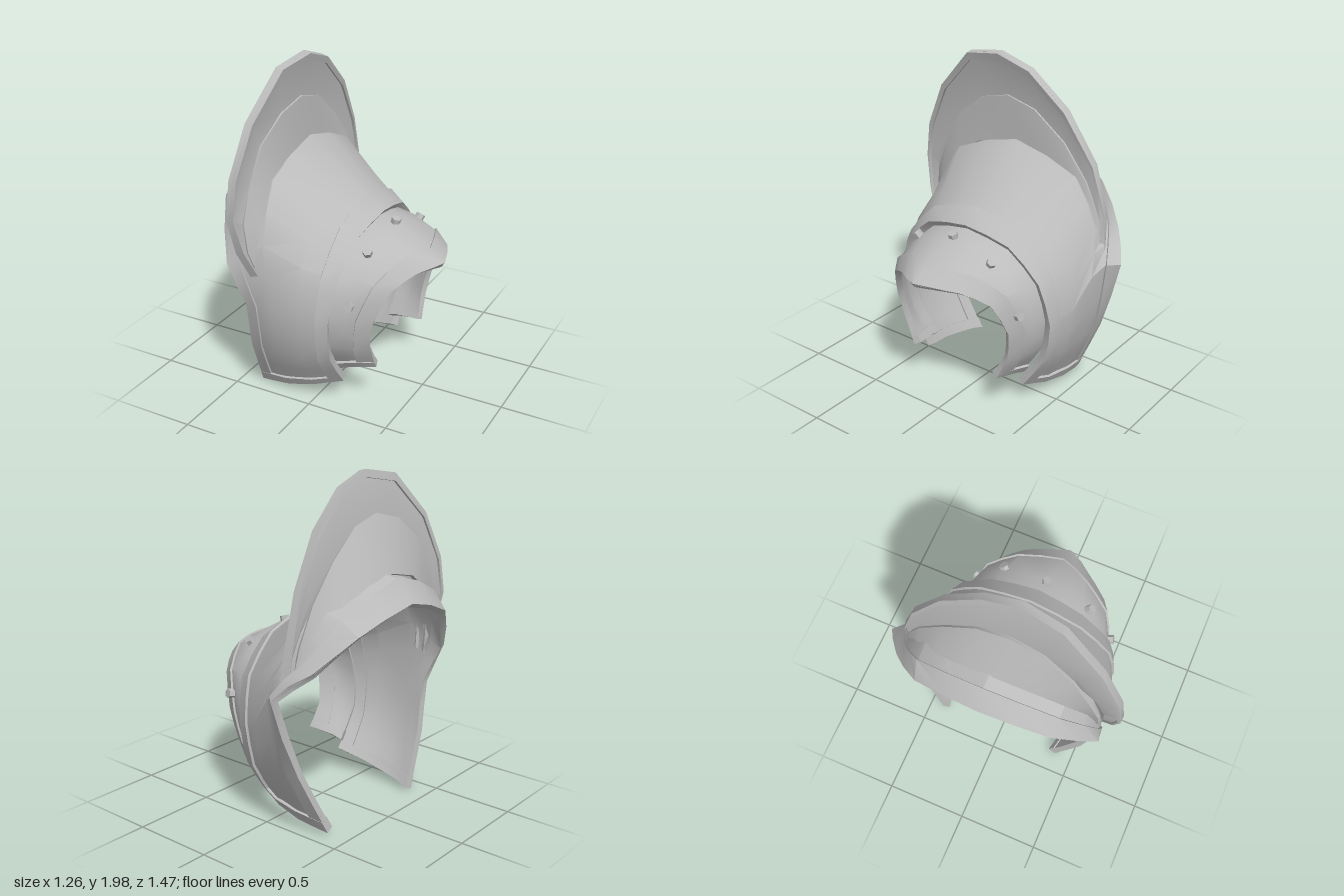
import * as THREE from 'three';
import { toCreasedNormals } from 'three/addons/utils/BufferGeometryUtils.js';

const steel = new THREE.MeshStandardMaterial({ color: 0xbcbcbc });
steel.name = 'steel';

const V = (p) => new THREE.Vector3(...p);

// Surface through arch-shaped section curves: u runs front to back over the top, v counts the curves
function surface(sections) {
  const curves = sections.map((s) => new THREE.CatmullRomCurve3(s.map(V), false, 'catmullrom', 0.25));
  const S = (u, v) => {
    const i = Math.min(Math.floor(v), curves.length - 2);
    return curves[i].getPoint(u).lerp(curves[i + 1].getPoint(u), v - i);
  };
  return Object.assign(S, { vMax: curves.length - 1 });
}

// Mirror a half arch (front bottom to top) into a whole arch
const arch = (half) => [...half, ...half.slice(0, -1).reverse().map(([x, y, z]) => [x, y, -z])];

// Solid patch of a surface between two offsets along its normal
function patch(name, S, [u0, u1], [v0, v1], lo, hi, segments = 20) {
  const us = [], vs = [v0];
  const n = Math.max(1, Math.round(segments * (u1 - u0)));
  for (let i = 0; i <= n; i++) us.push(u0 + ((u1 - u0) * i) / n);
  for (let k = Math.floor(v0) + 1; k < v1; k++) vs.push(k);
  vs.push(v1);
  const vMax = S.vMax, e = 0.01;
  const pos = [], idx = [];
  const cols = vs.length, rows = us.length, layer = cols * rows;
  for (const off of [hi, lo]) {
    for (const u of us) {
      for (const v of vs) {
        const du = S(Math.min(1, u + e), v).sub(S(Math.max(0, u - e), v));
        const dv = S(u, Math.min(vMax, v + e)).sub(S(u, Math.max(0, v - e)));
        const normal = dv.cross(du).normalize();
        pos.push(...S(u, v).addScaledVector(normal, off).toArray());
      }
    }
  }
  const quad = (a, b, c, d) => idx.push(a, b, c, a, c, d);
  for (let i = 0; i < rows - 1; i++) {
    for (let j = 0; j < cols - 1; j++) {
      const a = i * cols + j, b = a + 1, c = a + cols + 1, d = a + cols;
      quad(a, b, c, d);
      quad(a + layer, d + layer, c + layer, b + layer);
    }
  }
  // side walls
  const wall = (a, b) => quad(a, a + layer, b + layer, b);
  for (let i = 0; i < rows - 1; i++) {
    wall((i + 1) * cols, i * cols);
    wall(i * cols + cols - 1, (i + 1) * cols + cols - 1);
  }
  for (let j = 0; j < cols - 1; j++) {
    wall(j, j + 1);
    wall((rows - 1) * cols + j + 1, (rows - 1) * cols + j);
  }
  const g = new THREE.BufferGeometry();
  g.setAttribute('position', new THREE.Float32BufferAttribute(pos, 3));
  g.setIndex(idx);
  const mesh = new THREE.Mesh(toCreasedNormals(g, 0.55), steel);
  mesh.name = name;
  return mesh;
}

export function createModel() {
  const group = new THREE.Group();
  group.name = 'shoulderArmour';

  // Main shoulder shell, from the wide body opening to the arm
  const shell = surface([
    [[-.38, .02, .38], [-.35, .35, .53], [-.33, .65, .6], [-.42, .89, .64], [-.57, 1.18, .4], [-.62, 1.31, 0],
      [-.57, 1.2, -.4], [-.43, 1.02, -.6], [-.27, .88, -.73], [-.32, .42, -.58], [-.38, .04, -.4]],
    [[-.3, .04, .4], [-.28, .35, .54], [-.26, .65, .61], [-.36, .93, .62], [-.48, 1.28, .42], [-.53, 1.44, 0],
      [-.48, 1.28, -.42], [-.36, 1.06, -.58], [-.21, .88, -.67], [-.24, .42, -.59], [-.3, .06, -.42]],
    [[-.18, .06, .41], [-.18, .35, .56], [-.17, .65, .61], [-.22, 1.02, .59], [-.25, 1.34, .42], [-.26, 1.48, 0],
      [-.25, 1.34, -.42], [-.22, 1.07, -.58], [-.13, .82, -.63], [-.17, .4, -.57], [-.18, .07, -.42]],
    arch([[-.02, .1, .4], [-.01, .35, .54], [0, .65, .59], [0, .92, .55], [-.01, 1.16, .35], [-.02, 1.27, 0]]),
    arch([[.15, .15, .35], [.14, .36, .49], [.15, .6, .53], [.18, .85, .47], [.2, 1.03, .28], [.22, 1.09, 0]]),
  ]);
  group.add(
    patch('shoulderShell', shell, [0, 1], [0, 4], -0.02, 0),
    patch('bodyRim', shell, [0, 1], [0, 1], -0.03, 0.012),
    patch('armRim', shell, [0, 1], [3.55, 4], -0.035, 0.015),
    patch('frontHem', shell, [0, 0.024], [0, 4], -0.038, 0.014),
    patch('backHem', shell, [0.976, 1], [0, 4], -0.038, 0.014),
  );

  // Upper arm cuff with a pointed lip
  const cuff = surface([
    arch([[.12, .22, .34], [.12, .42, .47], [.14, .62, .5], [.16, .84, .45], [.18, 1.01, .27], [.18, 1.08, 0]]),
    arch([[.18, .24, .33], [.2, .42, .45], [.23, .62, .48], [.27, .84, .42], [.3, .99, .26], [.33, 1.05, .02]]),
    arch([[.23, .25, .32], [.25, .42, .42], [.28, .62, .45], [.36, .83, .39], [.45, .94, .22], [.53, .94, .04]]),
    arch([[.34, .27, .3], [.33, .42, .37], [.36, .6, .4], [.44, .79, .34], [.53, .86, .2], [.625, .875, .05]]),
  ]);
  group.add(
    patch('armCuff', cuff, [0, 1], [0, 3], -0.02, 0),
    patch('cuffLip', cuff, [0, 1], [2, 3], -0.025, 0.012),
    patch('cuffFrontHem', cuff, [0, 0.03], [0, 3], -0.03, 0.014),
    patch('cuffBackHem', cuff, [0.97, 1], [0, 3], -0.03, 0.014),
  );

  // Upright neck guard, with a raised rim and a thicker foot
  const guardRim = [[-.26, .84, .62], [-.3, 1, .69], [-.33, 1.2, .73], [-.32, 1.42, .7], [-.29, 1.7, .57], [-.24, 1.95, .33],
    [-.21, 1.99, .09], [-.22, 1.92, -.12], [-.24, 1.72, -.35], [-.27, 1.43, -.53], [-.28, 1.15, -.61], [-.26, .95, -.63]];
  const guardMid = [[-.265, .85, .6], [-.3, .98, .63], [-.32, 1.15, .63], [-.32, 1.32, .57], [-.31, 1.54, .45], [-.285, 1.68, .27],
    [-.275, 1.73, .07], [-.275, 1.68, -.12], [-.285, 1.52, -.32], [-.28, 1.32, -.48], [-.27, 1.11, -.58], [-.25, .95, -.61]];
  const guardBase = [[-.26, .86, .57], [-.26, .9, .58], [-.26, 1, .58], [-.26, 1.13, .55], [-.27, 1.3, .44], [-.27, 1.41, .27],
    [-.27, 1.46, .05], [-.27, 1.43, -.15], [-.27, 1.34, -.34], [-.26, 1.2, -.48], [-.25, 1.08, -.56], [-.24, .95, -.59]];
  const guard = surface([guardRim, guardMid, guardBase]);
  group.add(
    patch('neckGuard', guard, [0, 1], [0, 2], -0.012, 0.004, 11),
    patch('neckGuardRim', guard, [0, 1], [0, 0.17], -0.026, 0.022, 11),
    patch('neckGuardFoot', guard, [0, 1], [1, 2], -0.008, 0.014, 11),
  );

  // Sloping brace behind the neck guard
  const brace = surface([
    guardMid.map(([x, y, z]) => [x - .035, y + .03, z * .97]),
    guardBase.map(([x, y, z]) => [x - .17 * Math.sqrt(Math.max(0, 1 - (z / .62) ** 2)), y - .02, z * .98]),
  ]);
  group.add(patch('neckGuardBrace', brace, [0, 1], [0, 1], -0.02, 0, 11));

  // Six-sided rivets around the cuff
  const rivet = new THREE.CylinderGeometry(0.028, 0.028, 0.04, 6).toNonIndexed();
  rivet.computeVertexNormals();
  [[.25, .71, .475], [.28, .98, .31], [.31, 1.06, .02], [.33, .98, -.26], [.32, .71, -.445]].forEach((p) => {
    const m = new THREE.Mesh(rivet, steel);
    m.name = 'rivet';
    m.position.set(...p);
    m.quaternion.setFromUnitVectors(new THREE.Vector3(0, 1, 0), new THREE.Vector3(0.12, p[1] - 0.62, p[2]).normalize());
    group.add(m);
  });

  return group;
}
